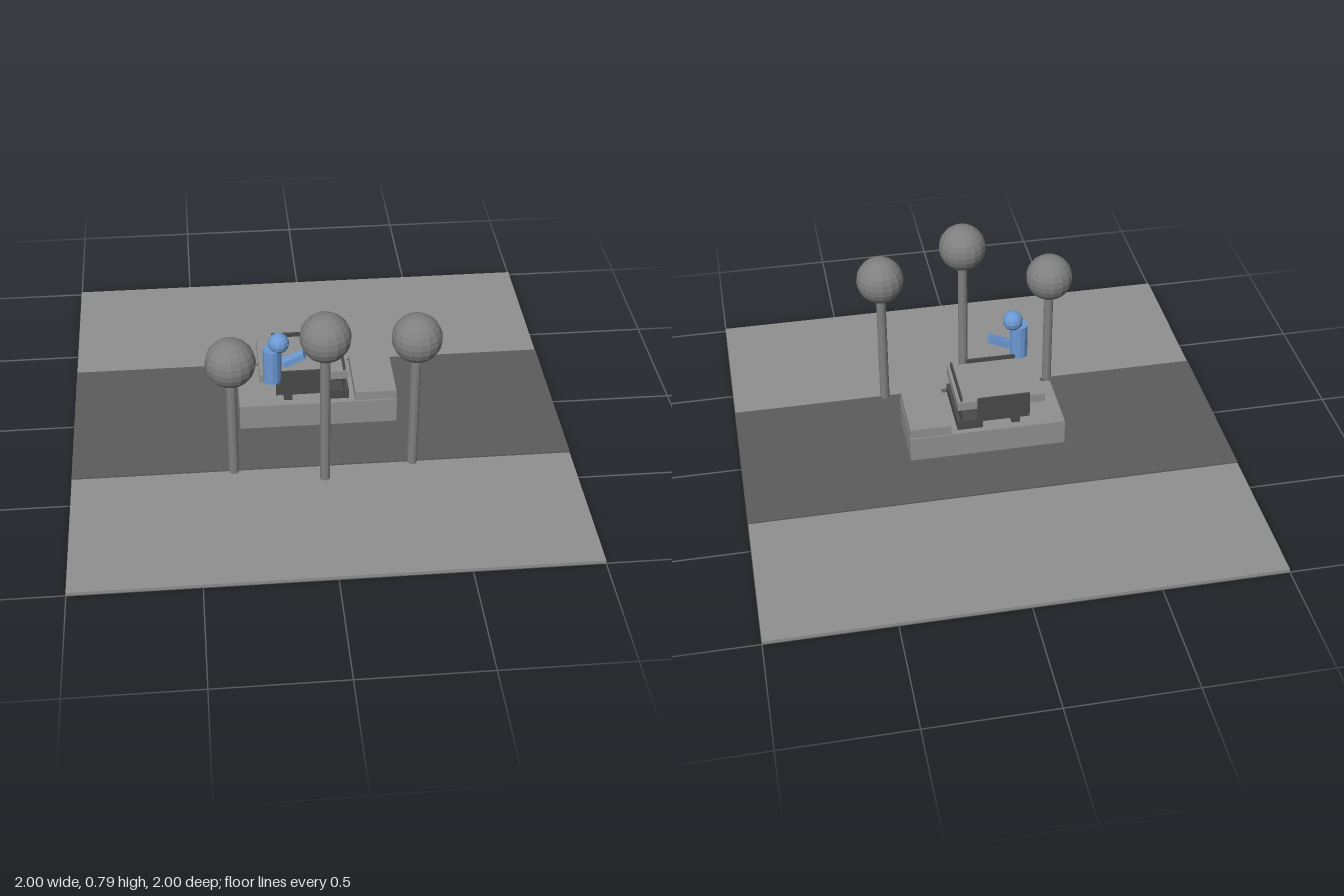
import * as THREE from 'three';

const mat = (name, color, flat = false) => {
  const m = new THREE.MeshStandardMaterial({ color, flatShading: flat });
  m.name = name;
  return m;
};

export function createModel() {
  const root = new THREE.Group();
  root.name = 'streetScene';
  const light = mat('lightGrey', 0x909090);
  const asphalt = mat('asphaltGrey', 0x5c5c5c);
  const dark = mat('darkGrey', 0x4a4a4a);
  const foliage = mat('treeGrey', 0x808080, true);
  const blue = mat('figureBlue', 0x6c9ad4, true);

  const add = (parent, name, geometry, material, x, y, z) => {
    const mesh = new THREE.Mesh(geometry, material);
    mesh.name = name;
    mesh.position.set(x, y, z);
    parent.add(mesh);
    return mesh;
  };
  // Box from its minimum and maximum corners
  const box = (parent, name, material, [x0, y0, z0], [x1, y1, z1]) =>
    add(parent, name, new THREE.BoxGeometry(x1 - x0, y1 - y0, z1 - z0), material,
      (x0 + x1) / 2, (y0 + y1) / 2, (z0 + z1) / 2);
  const group = (name) => {
    const g = new THREE.Group();
    g.name = name;
    root.add(g);
    return g;
  };

  // Ground and raised road strip
  box(root, 'ground', light, [-1, 0, -1], [1, 0.014, 1]);
  box(root, 'road', asphalt, [-1, 0.004, -0.357], [1, 0.02, 0.357]);

  // Round-topped trees
  for (const [x, y, z] of [[-0.357, 0.545, 0.357], [0, 0.69, 0.428], [0.357, 0.618, 0.357]]) {
    const tree = group('tree');
    add(tree, 'trunk', new THREE.CylinderGeometry(0.02, 0.02, y - 0.06, 12), foliage, x, (y - 0.06) / 2 + 0.01, z);
    add(tree, 'crown', new THREE.SphereGeometry(0.098, 16, 12), foliage, x, y, z);
  }

  // Car body, bonnet and roof
  const car = group('car');
  box(car, 'carBody', light, [-0.32, 0.056, -0.142], [0.32, 0.166, 0.142]);
  box(car, 'bonnet', light, [0.15, 0.16, -0.136], [0.318, 0.206, 0.136]);
  box(car, 'roof', light, [-0.236, 0.274, -0.13], [0.122, 0.311, 0.13]);

  // Dark side panels, windscreen, dashboard and seat support
  for (const s of [-1, 1]) {
    const door = box(car, 'sidePanel', dark, [-0.172, 0.214, -0.004], [0.042, 0.328, 0.004]);
    door.position.z = s * 0.134;
  }
  box(car, 'windscreen', dark, [0.101, 0.2, -0.122], [0.109, 0.332, 0.122]);
  box(car, 'dashboard', dark, [0.02, 0.178, -0.132], [0.124, 0.218, 0.132]);
  box(car, 'seatSupport', dark, [-0.138, 0.16, -0.11], [-0.104, 0.22, 0.11]);
  add(car, 'steeringWheel', new THREE.TorusGeometry(0.047, 0.008, 8, 24), dark, 0.04, 0.217, 0.06);

  // Standing figure beside the car
  const figure = group('figure');
  add(figure, 'torso', new THREE.CylinderGeometry(0.037, 0.037, 0.15, 12), blue, -0.187, 0.385, 0.16);
  add(figure, 'head', new THREE.SphereGeometry(0.042, 12, 8), blue, -0.16, 0.484, 0.157);
  const arm = add(figure, 'arm', new THREE.BoxGeometry(0.092, 0.026, 0.038), blue, -0.1, 0.397, 0.146);
  arm.rotation.z = 0.44;

  return root;
}
